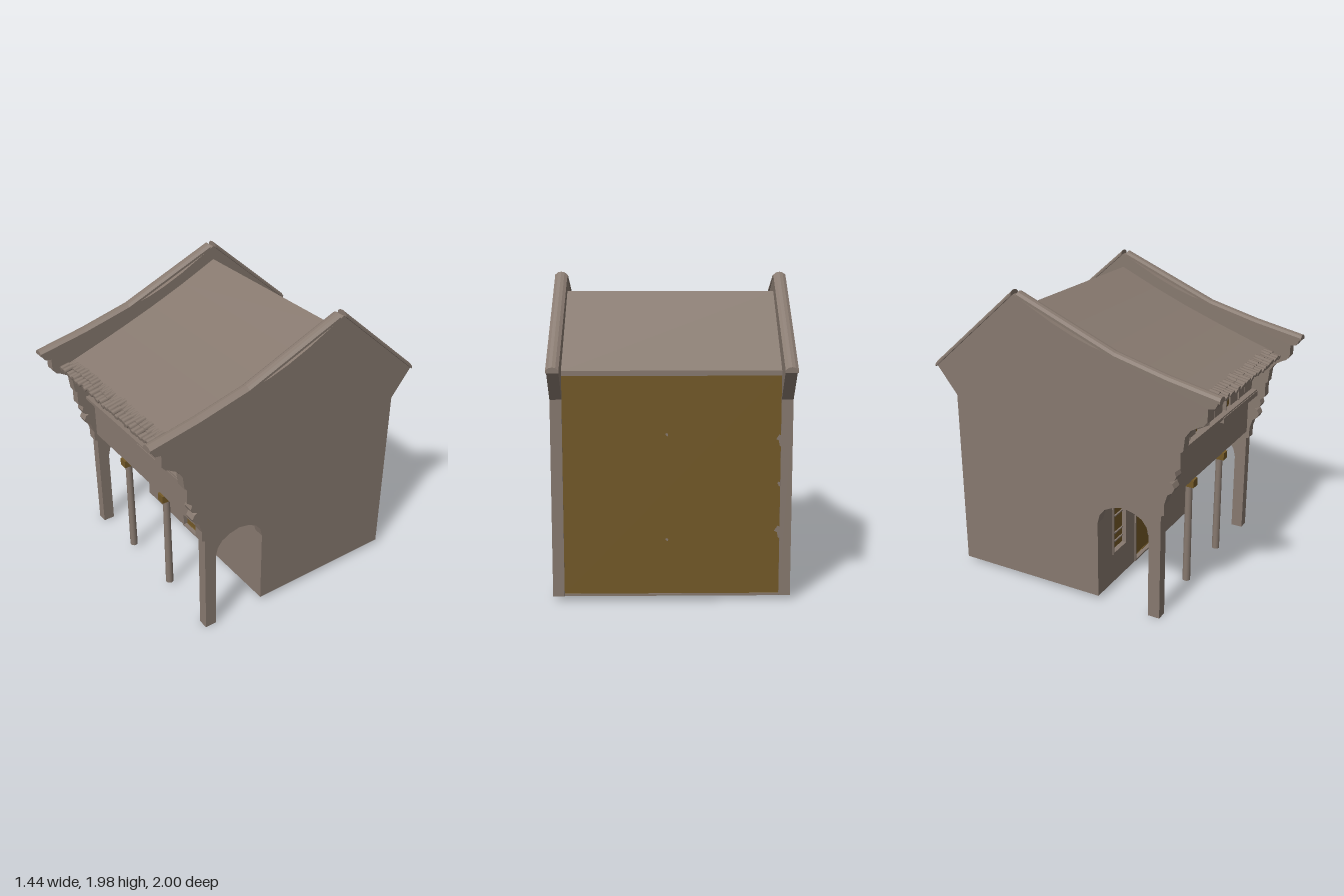
import * as THREE from 'three';

const plaster = new THREE.MeshStandardMaterial({ color: 0x87796f, side: THREE.DoubleSide });
plaster.name = 'weathered plaster';
const wood = new THREE.MeshStandardMaterial({ color: 0x735927, side: THREE.DoubleSide });
wood.name = 'ochre wood';

export function createModel() {
  const house = new THREE.Group();
  house.name = 'townhouse';

  const add = (name, geometry, material = plaster) => {
    const mesh = new THREE.Mesh(geometry, material);
    mesh.name = name;
    house.add(mesh);
    return mesh;
  };
  // Box given by its limits on each axis
  const box = (name, x0, x1, y0, y1, z0, z1, material) =>
    add(name, new THREE.BoxGeometry(x1 - x0, y1 - y0, z1 - z0)
      .translate((x0 + x1) / 2, (y0 + y1) / 2, (z0 + z1) / 2), material);
  // Outline of [z, y] points extruded across x
  const across = (name, points, x0, x1) => {
    const shape = new THREE.Shape(points.map(p => new THREE.Vector2(...p)));
    return add(name, new THREE.ExtrudeGeometry(shape, { depth: x1 - x0, bevelEnabled: false })
      .rotateY(-Math.PI / 2).translate(x1, 0, 0));
  };
  // Rectangular window or door surround
  const frame = (name, x0, x1, y0, y1, z0, z1, t) => {
    box(name + 'Left', x0, x0 + t, y0, y1, z0, z1);
    box(name + 'Right', x1 - t, x1, y0, y1, z0, z1);
    box(name + 'Top', x0 + t, x1 - t, y1 - t, y1, z0, z1);
    box(name + 'Bottom', x0 + t, x1 - t, y0, y0 + t, z0, z1);
  };
  // Flat irregular flake of plaster
  const patch = (name, x, y, z, w, h) => {
    const pts = [[-1, -0.2], [-0.4, -1], [0.2, -0.6], [0.4, 0.1], [1, 0.3], [0.3, 1], [-0.6, 0.7]];
    const shape = new THREE.Shape(pts.map(p => new THREE.Vector2(x + p[0] * w, y + p[1] * h)));
    add(name, new THREE.ShapeGeometry(shape).translate(0, 0, z));
  };

  // Gable walls with stepped corbels in front and an arched passage
  const corbels = [
    [0.65, 0], [0.65, 0.72], [0.67, 0.73], [0.67, 0.80], [0.69, 0.87], [0.72, 0.89], [0.735, 0.92],
    [0.72, 0.95], [0.70, 0.96], [0.735, 0.975], [0.745, 1.0], [0.735, 1.03], [0.77, 1.06], [0.77, 1.16],
    [0.785, 1.17], [0.795, 1.26], [0.815, 1.29], [0.83, 1.31], [0.88, 1.34], [0.905, 1.35],
    [0.93, 1.38], [0.93, 1.46], [0.97, 1.465], [0.985, 1.49], [0.99, 1.515]];
  const gableTop = [[0.67, 1.585], [0.33, 1.675], [0.18, 1.71], [0.05, 1.755], [-0.1, 1.82],
    [-0.36, 1.955], [-0.985, 1.41], [-0.84, 1.23], [-0.84, 0.03], [0.21, 0.03]];
  const arch = [[0.21, 0.56], [0.225, 0.62], [0.26, 0.665], [0.32, 0.695], [0.39, 0.71],
    [0.46, 0.695], [0.52, 0.665], [0.555, 0.62], [0.57, 0.56], [0.57, 0]];
  const outline = [...corbels, ...gableTop, ...arch];

  // Rounded coping swept along [z, y] points
  const coping = (name, path, cx) => {
    const section = [[-0.038, -0.02], [0.038, -0.02], [0.038, -0.004], [0.02, 0.01], [0, 0.014],
      [-0.02, 0.01], [-0.038, -0.004]];
    const n = section.length, pos = [], idx = [];
    for (const [z, y] of path) for (const [dx, dy] of section) pos.push(cx + dx, y + dy, z);
    for (let i = 0; i < path.length - 1; i++) for (let j = 0; j < n; j++) {
      const a = i * n + j, b = i * n + (j + 1) % n;
      idx.push(a, b, a + n, b, b + n, a + n);
    }
    const last = (path.length - 1) * n;
    for (let j = 1; j < n - 1; j++) idx.push(0, j + 1, j, last, last + j, last + j + 1);
    const g = new THREE.BufferGeometry();
    g.setAttribute('position', new THREE.Float32BufferAttribute(pos, 3));
    g.setIndex(idx);
    const flat = g.toNonIndexed();
    flat.computeVertexNormals();
    add(name, flat);
  };

  for (const s of [-1, 1]) {
    const side = s > 0 ? 'left' : 'right';
    across(side + 'GableWall', outline, s > 0 ? 0.648 : -0.718, s > 0 ? 0.718 : -0.648);
    // Listed from back to front so the faces point outward
    coping(side + 'FrontCoping', [[-0.335, 1.96], [0.33, 1.68], [0.67, 1.59], [1, 1.52]], s * 0.683);
    coping(side + 'BackCoping', [[-1, 1.42], [-0.375, 1.965]], s * 0.683);
  }

  // Main roof: curved front slope and straight back slope
  across('roof', [[0.80, 1.40], [0.62, 1.462], [0.40, 1.54], [0.15, 1.635], [-0.1, 1.74], [-0.36, 1.86],
    [-0.84, 1.40], [-0.84, 1.37], [-0.36, 1.83], [-0.1, 1.71], [0.15, 1.605], [0.40, 1.51],
    [0.62, 1.432], [0.80, 1.37]], -0.65, 0.65);

  // Uneven eave tiles in two courses
  let seed = 7;
  const rand = () => (seed = (seed * 16807) % 2147483647) / 2147483647;
  for (let row = 0; row < 2; row++) for (let i = 0; i < 32; i++) {
    const tile = add('eaveTile', new THREE.CylinderGeometry(0.021, 0.019, 0.065, 7).rotateX(Math.PI / 2));
    tile.scale.y = 0.8;
    tile.position.set(-0.63 + i * 0.0403, 1.398 - row * 0.014 + (rand() - 0.5) * 0.012,
      0.79 + row * 0.05 + (rand() - 0.5) * 0.015);
    tile.rotation.set(0.22, (rand() - 0.5) * 0.12, 0);
  }
  box('eaveBoard', -0.65, 0.65, 1.355, 1.375, 0.69, 0.82);

  // Back wall, floor and porch ceiling
  box('backWall', -0.65, 0.65, 0.04, 1.395, -0.835, -0.81, wood);
  box('floor', -0.63, 0.63, 0.032, 0.05, -0.82, 0.19, wood);
  box('backSill', -0.65, 0.65, 0.03, 0.045, -0.838, -0.81);
  box('porchCeiling', -0.65, 0.65, 0.775, 0.80, 0.17, 0.645);
  [[-0.645, 0.98, 0.025, 0.04], [-0.645, 0.42, 0.03, 0.045], [-0.64, 0.72, 0.012, 0.015],
    [0.03, 0.38, 0.01, 0.01], [0.03, 1.02, 0.01, 0.01]].forEach(([x, y, w, h]) =>
    patch('backWallFlake', x, y, -0.837, w, h));

  // Ground-floor wall with door and window openings
  const wall = new THREE.Shape([[-0.65, 0.03], [0.65, 0.03], [0.65, 0.78], [-0.65, 0.78]]
    .map(p => new THREE.Vector2(...p)));
  for (const [x0, x1, y0, y1] of [[-0.22, 0.19, 0.04, 0.75], [-0.53, -0.35, 0.24, 0.63]]) {
    wall.holes.push(new THREE.Path([[x0, y0], [x0, y1], [x1, y1], [x1, y0]]
      .map(p => new THREE.Vector2(...p))));
  }
  add('groundFloorWall', new THREE.ExtrudeGeometry(wall, { depth: 0.04, bevelEnabled: false })
    .translate(0, 0, 0.17));

  // Door
  box('door', -0.215, 0.185, 0.05, 0.745, 0.165, 0.185, wood);
  frame('doorFrame', -0.225, 0.195, 0.035, 0.755, 0.17, 0.218, 0.012);
  patch('doorFlake', 0.035, 0.29, 0.187, 0.025, 0.05);
  patch('doorFlake', 0.02, 0.135, 0.187, 0.014, 0.02);

  // Ground-floor window with slats
  box('windowPanel', -0.525, -0.355, 0.245, 0.625, 0.165, 0.185, wood);
  frame('windowFrame', -0.532, -0.348, 0.238, 0.632, 0.17, 0.218, 0.012);
  for (const y of [0.30, 0.36, 0.485, 0.55, 0.605]) box('windowSlat', -0.52, -0.36, y, y + 0.008, 0.185, 0.195);

  // Porch columns with wooden brackets
  for (const x of [-0.257, 0.228]) {
    add('column', new THREE.CylinderGeometry(0.023, 0.026, 0.70, 12).translate(x, 0.38, 0.62));
    box('columnBracket', x - 0.029, x + 0.029, 0.725, 0.778, 0.56, 0.665, wood);
  }

  // Balcony parapet and rails
  box('parapet', -0.65, 0.65, 0.775, 1.07, 0.62, 0.65);
  box('lowerRail', -0.65, 0.65, 1.065, 1.08, 0.62, 0.69);
  box('upperRail', -0.65, 0.65, 1.085, 1.105, 0.62, 0.71);
  box('railBoard', 0.05, 0.65, 1.06, 1.095, 0.69, 0.715);

  // Upper-floor screen: backing, wall panels, openings and shutters
  box('upperBacking', -0.65, 0.65, 1.06, 1.37, 0.62, 0.645);
  const panels = [[-0.65, -0.53], [-0.13, -0.01], [-0.004, 0.125], [0.262, 0.385], [0.393, 0.512], [0.518, 0.65]];
  for (const [x0, x1] of panels) box('screenPanel', x0, x1, 1.105, 1.36, 0.64, 0.67);
  for (const x of [-0.527, -0.396, -0.135, 0.385, 0.165]) box('screenPost', x, x + 0.01, 1.105, 1.36, 0.64, 0.68);
  for (const [x0, x1] of [[-0.515, -0.412], [-0.385, -0.302]]) {
    box('shutterTop', x0, x1, 1.28, 1.355, 0.64, 0.675);
    box('shutterMiddle', x0, x1, 1.20, 1.275, 0.64, 0.66);
    box('shutterBottom', x0, x1, 1.11, 1.195, 0.64, 0.675);
  }
  box('openingPanel', -0.298, -0.252, 1.107, 1.355, 0.64, 0.66, wood);
  box('openingPanel', 0.176, 0.258, 1.107, 1.355, 0.64, 0.66, wood);
  box('foldedShutter', 0.125, 0.165, 1.19, 1.28, 0.64, 0.69);
  const ajar = add('ajarShutter', new THREE.BoxGeometry(0.115, 0.24, 0.01));
  ajar.position.set(-0.19, 1.232, 0.672);
  ajar.rotation.y = -0.35;

  return house;
}
